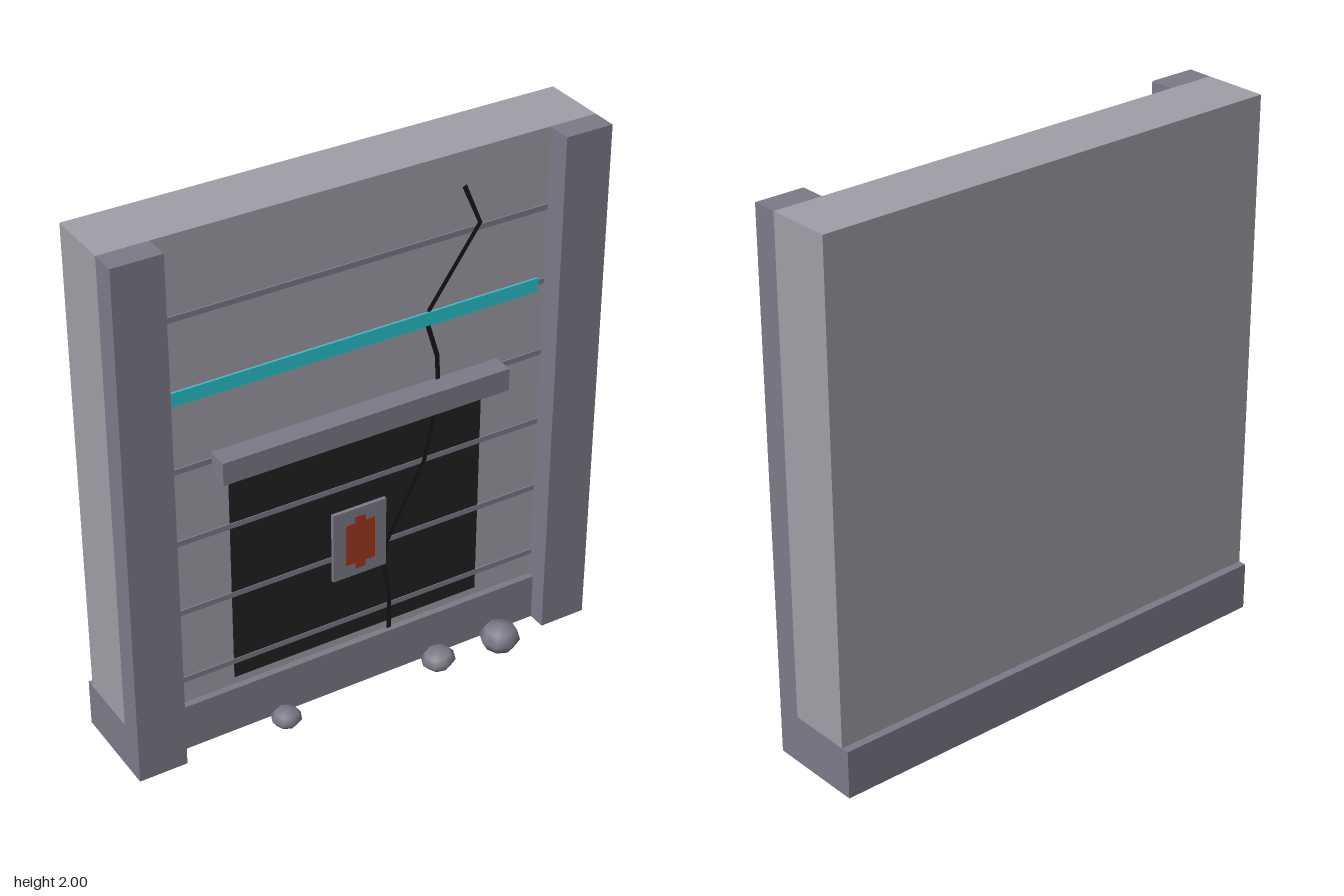
import * as THREE from 'three';

const mat = (name, color, side = THREE.FrontSide) => {
  const m = new THREE.MeshStandardMaterial({ color, side });
  m.name = name;
  return m;
};

export function createModel() {
  const group = new THREE.Group();
  const wallGrey = mat('wall grey', 0xa09fa8);
  const trimGrey = mat('trim grey', 0x7b7c89);
  const dark = mat('door black', 0x222222);
  const crackBlack = mat('crack black', 0x181818, THREE.DoubleSide);
  const cyan = mat('glow cyan', 0x2ac3cf);
  const red = mat('rune red', 0xa03a22);

  const add = (name, geometry, material) => {
    const mesh = new THREE.Mesh(geometry, material);
    mesh.name = name;
    group.add(mesh);
    return mesh;
  };
  // Box given by its limits on each axis
  const box = (name, material, x0, x1, y0, y1, z0, z1) =>
    add(name, new THREE.BoxGeometry(x1 - x0, y1 - y0, z1 - z0), material)
      .position.set((x0 + x1) / 2, (y0 + y1) / 2, (z0 + z1) / 2);

  // Slab, plinth and the two pillars
  box('wall', wallGrey, -0.91, 0.91, 0.2, 2, -0.19, 0.05);
  box('base', trimGrey, -0.91, 0.91, 0.03, 0.21, -0.22, 0.075);
  box('rightPillar', trimGrey, -0.91, -0.73, 0.03, 2, 0.05, 0.143);
  box('leftPillar', trimGrey, 0.73, 0.91, 0.03, 2, 0.05, 0.143);

  // Doorway and lintel
  box('doorPanel', dark, -0.49, 0.49, 0.24, 1.12, 0.046, 0.053);
  box('lintel', trimGrey, -0.55, 0.55, 1.095, 1.18, 0.045, 0.13);

  // Horizontal seams
  for (let i = 0; i < 6; i++) {
    const y = 0.31 + i * 0.28;
    box('seam', trimGrey, -0.73, 0.73, y - 0.01, y + 0.01, 0.048, 0.056);
  }

  // Glowing strip
  box('glowStrip', cyan, -0.7, 0.7, 1.403, 1.452, 0.055, 0.064);

  // Plaque with a stepped rune
  box('plaque', trimGrey, -0.105, 0.105, 0.5, 0.775, 0.045, 0.067);
  const quarter = [[0.057, 0.083], [0.02, 0.083], [0.02, 0.107]];
  const rune = [
    ...quarter,
    ...quarter.map(([x, y]) => [-x, y]).reverse(),
    ...quarter.map(([x, y]) => [-x, -y]),
    ...quarter.map(([x, y]) => [x, -y]).reverse(),
  ].map(([x, y]) => new THREE.Vector2(x, y));
  add('rune', new THREE.ExtrudeGeometry(new THREE.Shape(rune), { depth: 0.006, bevelEnabled: false }), red)
    .position.set(0, 0.637, 0.066);

  // Crack: a ribbon of constant width along a jagged line
  const path = [
    [0.395, 1.88], [0.46, 1.73], [0.27, 1.46], [0.265, 1.4], [0.305, 1.27], [0.31, 1.1],
    [0.26, 0.87], [0.115, 0.59], [0.1, 0.5], [0.125, 0.36], [0.125, 0.21],
  ].map(([x, y]) => new THREE.Vector2(x, y));
  const edge = (side) => path.map((p, i) => {
    const a = path[Math.max(i - 1, 0)];
    const b = path[Math.min(i + 1, path.length - 1)];
    const d = b.clone().sub(a).normalize();
    return new THREE.Vector2(p.x - d.y * side * 0.009, p.y + d.x * side * 0.009);
  });
  const ribbon = new THREE.Shape([...edge(1), ...edge(-1).reverse()]);
  add('crack', new THREE.ShapeGeometry(ribbon), crackBlack).position.z = 0.059;

  // Fallen stones at the foot: x, y, z, half width, half height, half depth, tilt
  for (const [x, y, z, w, h, d, tilt] of [
    [-0.34, 0.063, 0.14, 0.056, 0.034, 0.055, 0],
    [0.283, 0.063, 0.14, 0.064, 0.038, 0.063, 0.15],
    [0.545, 0.057, 0.143, 0.075, 0.056, 0.075, 0],
  ]) {
    const stone = add('stone', new THREE.SphereGeometry(1, 8, 4), trimGrey);
    stone.scale.set(w, h, d);
    stone.position.set(x, y, z);
    stone.rotation.z = tilt;
  }
  return group;
}
